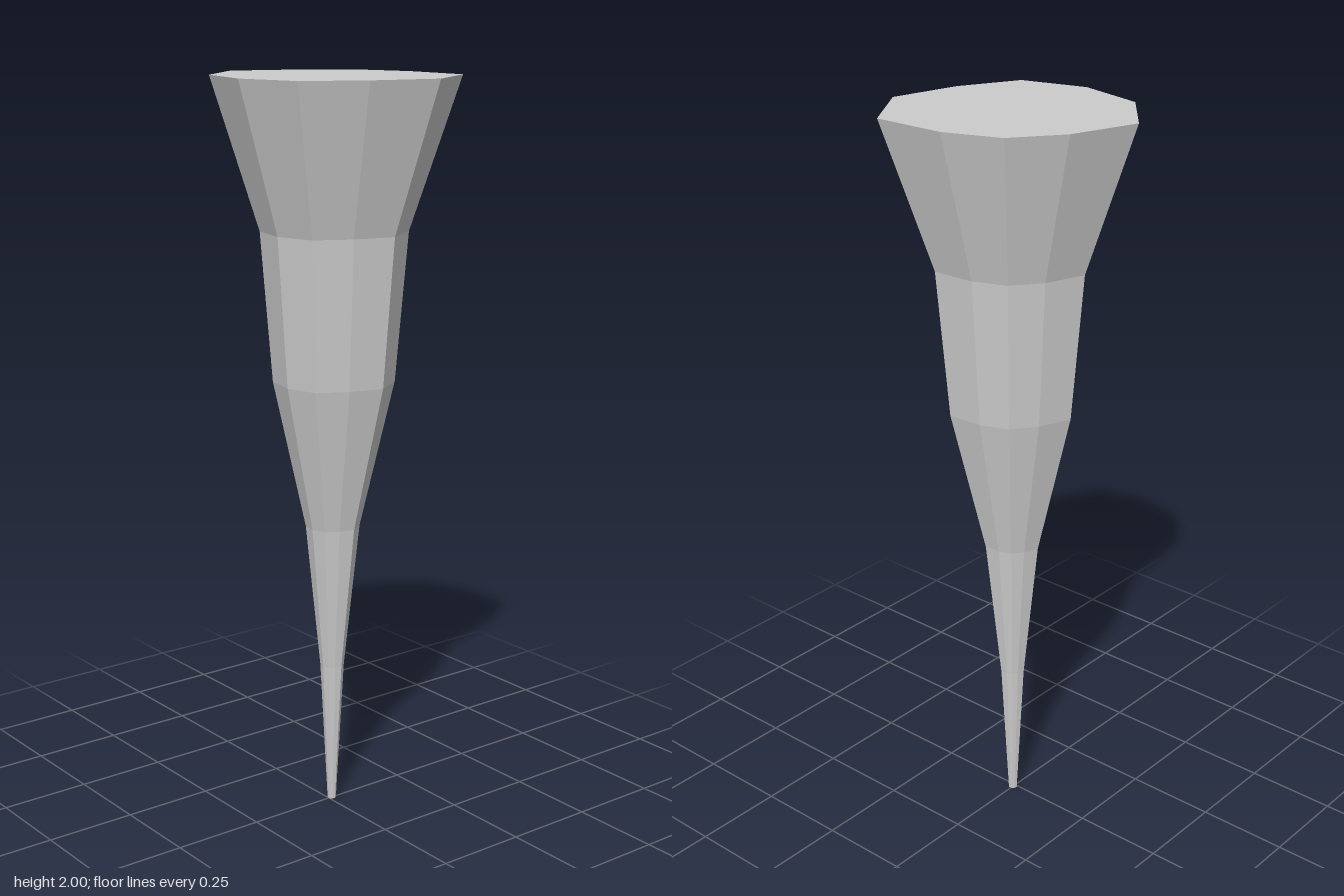
import * as THREE from 'three';

// Uneven radius of each of the ten corners, from +x round towards +z
const CORNER_RADII = [0.262, 0.335, 0.324, 0.273, 0.297, 0.292, 0.313, 0.326, 0.258, 0.253];
// Flare of each ring, from the tip at the bottom to the wide top
const RING_SCALES = [0.036, 0.1, 0.225, 0.5, 0.6, 1];
const HEIGHT = 2;
const AXIS_X = 0.01;

export function createModel() {
  const group = new THREE.Group();
  group.name = 'taperedSpike';

  const sides = CORNER_RADII.length;
  const rings = RING_SCALES.length - 1;
  const geometry = new THREE.CylinderGeometry(1, 1, HEIGHT, sides, rings);
  geometry.translate(0, HEIGHT / 2, 0);

  // Turn the corners onto the +x axis, then push each one to its own radius
  geometry.rotateY(Math.PI / 2);
  const pos = geometry.attributes.position;
  for (let i = 0; i < pos.count; i++) {
    const x = pos.getX(i), y = pos.getY(i), z = pos.getZ(i);
    const ring = Math.round((y / HEIGHT) * rings);
    const corner = (Math.round((Math.atan2(z, x) / (2 * Math.PI)) * sides) + sides) % sides;
    const r = Math.hypot(x, z) * CORNER_RADII[corner] * RING_SCALES[ring];
    const angle = (corner / sides) * 2 * Math.PI;
    pos.setXYZ(i, AXIS_X + r * Math.cos(angle), y, r * Math.sin(angle));
  }
  geometry.computeVertexNormals();

  // Closed spike body with flat facets
  const spike = new THREE.Mesh(
    geometry,
    new THREE.MeshStandardMaterial({ color: 0xcccccc, flatShading: true })
  );
  spike.name = 'spike';
  group.add(spike);
  return group;
}
